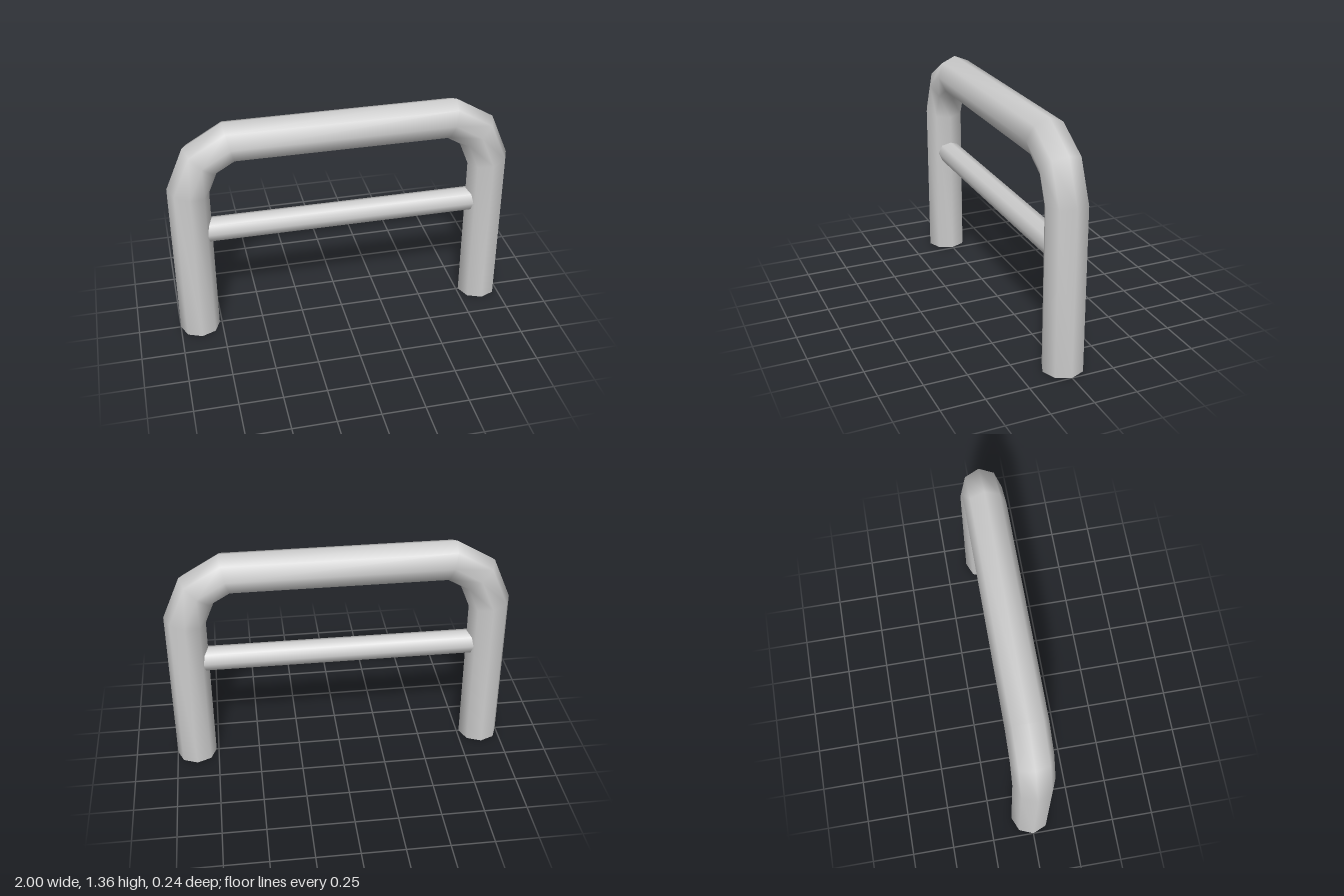
import * as THREE from 'three';

const SIDES = 8;
const RADIUS = 0.118;

// Skins octagonal rings; each ring is [centre x, centre y, half-width x, half-width y]
function skinRings(rings) {
  const positions = [];
  const index = [];
  rings.forEach(([cx, cy, hx, hy], i) => {
    for (let j = 0; j < SIDES; j++) {
      const a = (j / SIDES) * Math.PI * 2;
      positions.push(cx + hx * Math.cos(a), cy + hy * Math.cos(a), RADIUS * Math.sin(a));
      if (i === rings.length - 1) continue;
      const k = (j + 1) % SIDES;
      const p = i * SIDES + j, q = i * SIDES + k;
      index.push(p, q, p + SIDES, q, q + SIDES, p + SIDES);
    }
  });
  const geometry = new THREE.BufferGeometry();
  geometry.setAttribute('position', new THREE.Float32BufferAttribute(positions, 3));
  geometry.setIndex(index);
  geometry.computeVertexNormals();
  return geometry;
}

export function createModel() {
  const group = new THREE.Group();
  group.name = 'tubularStand';
  const metal = new THREE.MeshStandardMaterial({ color: 0xcccccc, side: THREE.DoubleSide });
  metal.name = 'light grey metal';

  // Bent tube: foot, start of bend, mitre, end of bend, then mirrored
  const half = [
    [-0.882, 0, -0.118, 0],
    [-0.882, 0.95, -0.118, 0.025],
    [-0.802, 1.141, -0.093, 0.081],
    [-0.64, 1.237, -0.03, 0.118],
  ];
  const mirrored = half.map(([x, y, hx, hy]) => [-x, y, -hx, hy]).reverse();
  const frame = new THREE.Mesh(skinRings([...half, ...mirrored]), metal);
  frame.name = 'bentTubeFrame';
  group.add(frame);

  // Thin rail between the legs
  const railGeometry = new THREE.CylinderGeometry(0.073, 0.073, 1.64, SIDES, 1, true);
  railGeometry.rotateZ(Math.PI / 2);
  const rail = new THREE.Mesh(railGeometry, metal);
  rail.name = 'crossRail';
  rail.position.y = 0.68;
  group.add(rail);

  return group;
}
